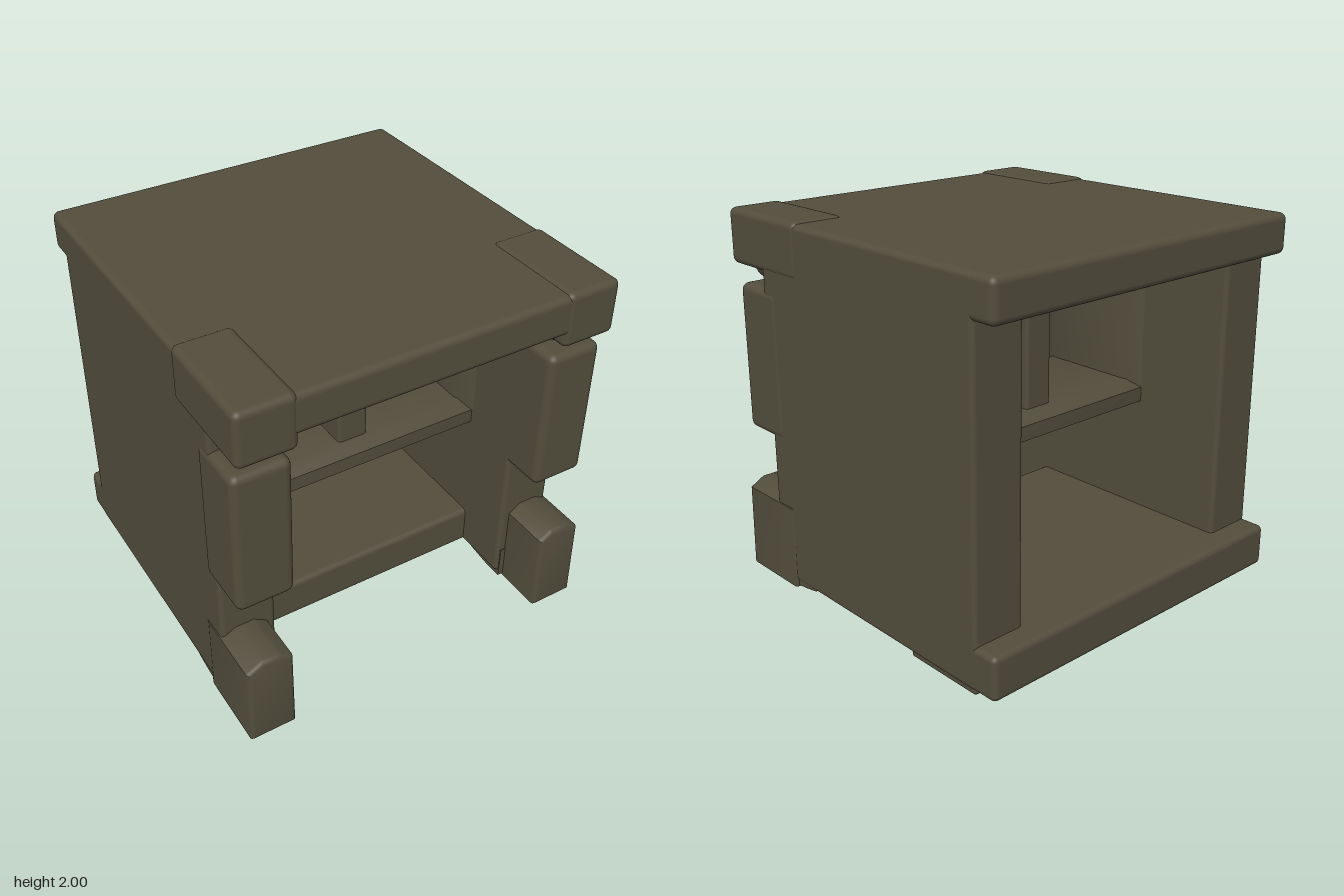
import * as THREE from 'three';
import { RoundedBoxGeometry } from 'three/addons/geometries/RoundedBoxGeometry.js';
import { toCreasedNormals } from 'three/addons/utils/BufferGeometryUtils.js';

const olive = new THREE.MeshStandardMaterial({ color: 0x524d3c });
olive.name = 'dark olive';

export function createModel() {
  const model = new THREE.Group();
  model.name = 'cabinet';

  function add(name, geometry) {
    const mesh = new THREE.Mesh(geometry, olive);
    mesh.name = name;
    model.add(mesh);
    return mesh;
  }

  // Rounded block given by its limits on each axis
  function block(name, [x0, x1], [y0, y1], [z0, z1], radius = 0.03) {
    const g = new RoundedBoxGeometry(Math.abs(x1 - x0), y1 - y0, z1 - z0, 3, radius);
    g.translate((x0 + x1) / 2, (y0 + y1) / 2, (z0 + z1) / 2);
    return add(name, g);
  }

  function extrude(points, depth, bevel = 0) {
    const shape = new THREE.Shape(points.map(([x, y]) => new THREE.Vector2(x, y)));
    const g = new THREE.ExtrudeGeometry(shape, {
      depth: depth - 2 * bevel, bevelEnabled: bevel > 0, bevelSize: bevel,
      bevelThickness: bevel, bevelOffset: -bevel, bevelSegments: 3,
    });
    g.translate(0, 0, bevel);
    return g;
  }

  // Extrude a (z, y) profile across x between x0 and x1
  function across(name, points, x0, x1, bevel) {
    const g = extrude(points, x1 - x0, bevel).rotateY(-Math.PI / 2).translate(x1, 0, 0);
    return add(name, toCreasedNormals(g, 0.6));
  }

  // Roof slab and floor slab
  block('roof', [-0.995, 0.995], [1.78, 1.99], [-1, 0.985], 0.035);
  block('floor', [-0.995, 0.995], [0.04, 0.27], [-1, 0.41], 0.03);

  // Window frame: shelf, header and central divider
  across('shelf', [[-0.34, 0.89], [0.38, 0.89], [0.38, 0.97], [0.3, 1.01],
    [-0.26, 1.01], [-0.34, 0.97]], -0.72, 0.72, 0.012);
  across('header', [[-0.34, 1.8], [-0.34, 1.77], [-0.25, 1.63], [0.28, 1.63],
    [0.39, 1.77], [0.39, 1.8]], -0.72, 0.72, 0);
  block('divider', [-0.085, 0.085], [0.99, 1.65], [-0.25, 0.3], 0.02);

  for (const s of [-1, 1]) {
    const side = s > 0 ? 'left' : 'right';

    // Side wall with an armrest-like front block
    block(side + 'Wall', [s * 0.7, s * 0.995], [0.04, 1.985], [-0.87, 0.715], 0.025);
    block(side + 'FrontBlock', [s * 0.7, s], [0.83, 1.62], [0.6, 0.93], 0.04);

    // Tapered window jamb, drawn in plan
    const jamb = [[0.71, 0.34], [0.7, 0.34], [0.65, 0.25], [0.65, -0.28], [0.7, -0.39], [0.71, -0.39]]
      .map(([x, y]) => [s * x, y]);
    const jambGeo = extrude(jamb, 0.82).rotateX(-Math.PI / 2).translate(0, 0.97, 0);
    add(side + 'Jamb', toCreasedNormals(jambGeo, 0.6));

    // Roof corner with a rounded lug hanging below
    block(side + 'RoofCorner', [s * 0.7, s], [1.71, 2], [0.4, 0.99], 0.035);
    const lug = new THREE.SphereGeometry(1, 24, 8, 0, Math.PI * 2, Math.PI / 2, Math.PI / 2);
    lug.scale(0.13, 0.085, 0.17).translate(s * 0.84, 1.715, 0.75);
    add(side + 'Lug', lug);

    // Front foot with a crowned top
    const foot = [[0.75, 0], [1, 0], [1, 0.46], [0.92, 0.505], [0.82, 0.505], [0.75, 0.46]]
      .map(([x, y]) => [s * x, y]);
    const footGeo = extrude(foot, 0.44, 0.025).translate(0, 0, 0.555);
    const p = footGeo.attributes.position;
    for (let i = 0; i < p.count; i++) {
      if (p.getZ(i) > 0.8) p.setZ(i, p.getZ(i) + 0.005 - 0.03 * p.getY(i));
    }
    add(side + 'Foot', toCreasedNormals(footGeo, 0.6));

    // Base that ramps down from the wall to the foot
    const [x0, x1] = s > 0 ? [0.72, 0.99] : [-0.99, -0.72];
    across(side + 'FootRamp', [[0.4, 0.2], [0.4, 0.04], [0.48, 0.025], [0.6, 0.01],
      [0.72, 0.01], [0.72, 0.2]], x0, x1, 0);

    // Back pad under the floor
    block(side + 'BackPad', [s * 0.73, s * 0.975], [0, 0.08], [-0.85, -0.38], 0.02);
  }

  return model;
}
